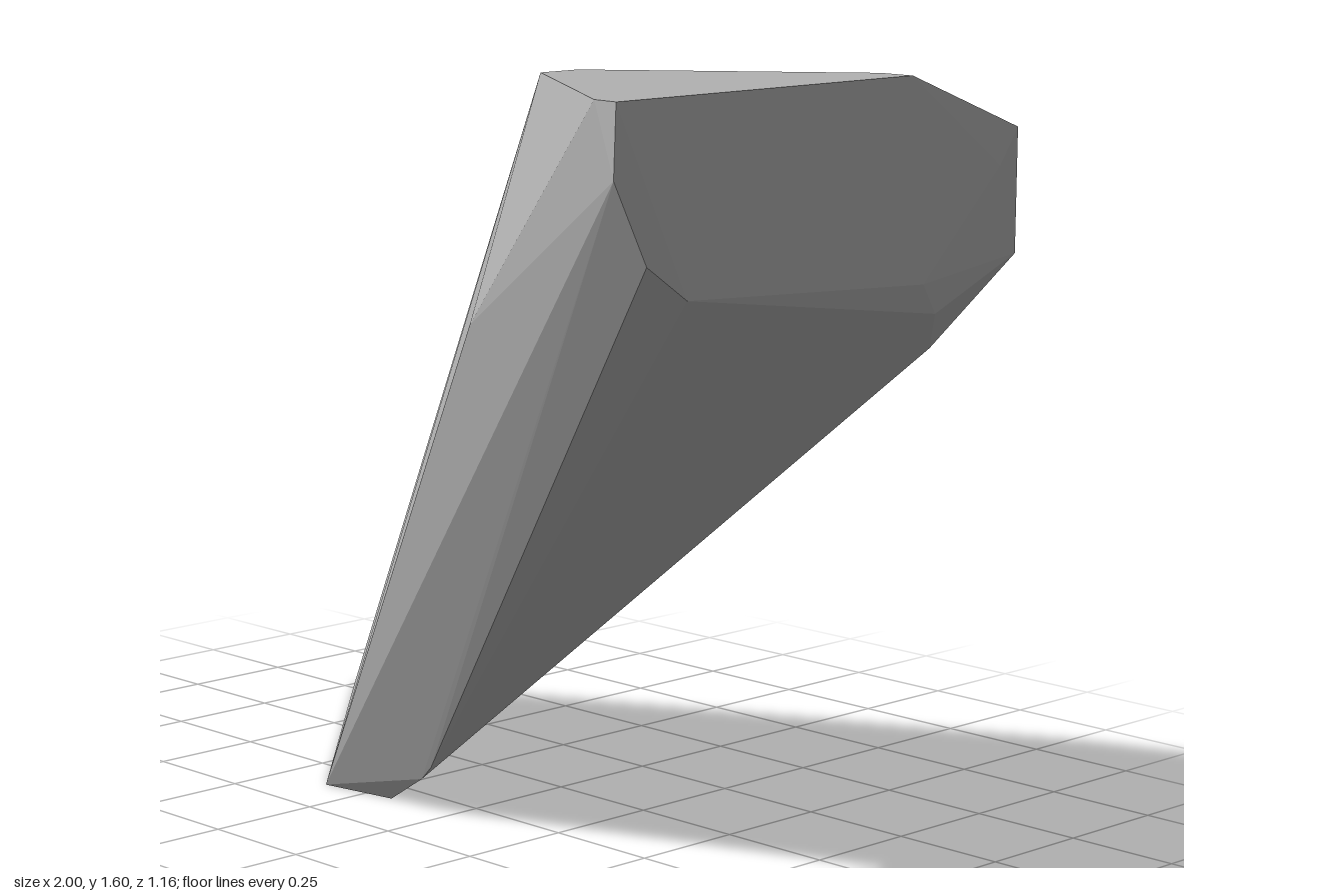
import * as THREE from 'three';
import { ConvexGeometry } from 'three/addons/geometries/ConvexGeometry.js';

export function createModel() {
  const group = new THREE.Group();
  group.name = 'leaningStone';
  const stone = new THREE.MeshStandardMaterial({ color: 0xb2b2b2, flatShading: true });
  stone.name = 'stone grey';

  // flat foot resting on the ground
  const foot = [
    [-1, 0, -0.55], [-0.99, 0, -0.52], [-0.36, 0, 0.11], [-0.18, 0, 0.08],
    [-0.48, 0, -0.39], [-0.85, 0, -0.57], [-0.98, 0.04, -0.55],
    [-0.75, 0.1, -0.58], [-0.05, 0.075, 0.11], [-0.01, 0.11, 0.12],
  ];
  // level top face
  const top = [
    [0.45, 1.6, 0.15], [0.45, 1.6, 0.25], [0.92, 1.6, 0.57],
    [0.98, 1.6, 0.575], [0.98, 1.6, -0.22], [0.9, 1.6, -0.22],
  ];
  // broken end on the upper side
  const end = [
    [0.98, 1.46, 0.58], [0.985, 1.3, 0.5], [0.99, 1.23, 0.4],
    [1, 1.2, -0.24], [0.98, 1.135, -0.3], [0.9, 1.05, -0.38],
    [0.97, 1.23, -0.55], [0.985, 1.41, -0.48], [0.97, 1.48, -0.55], [0.88, 1.49, -0.55],
  ];
  // bulges along the front and back
  const sides = [[0.45, 1.13, 0.435], [0.35, 1.34, -0.4], [0.19, 1.08, -0.55]];

  const points = [...foot, ...top, ...end, ...sides].map((p) => new THREE.Vector3(...p));
  const mesh = new THREE.Mesh(new ConvexGeometry(points), stone);
  mesh.name = 'stoneShard';
  group.add(mesh);
  return group;
}
